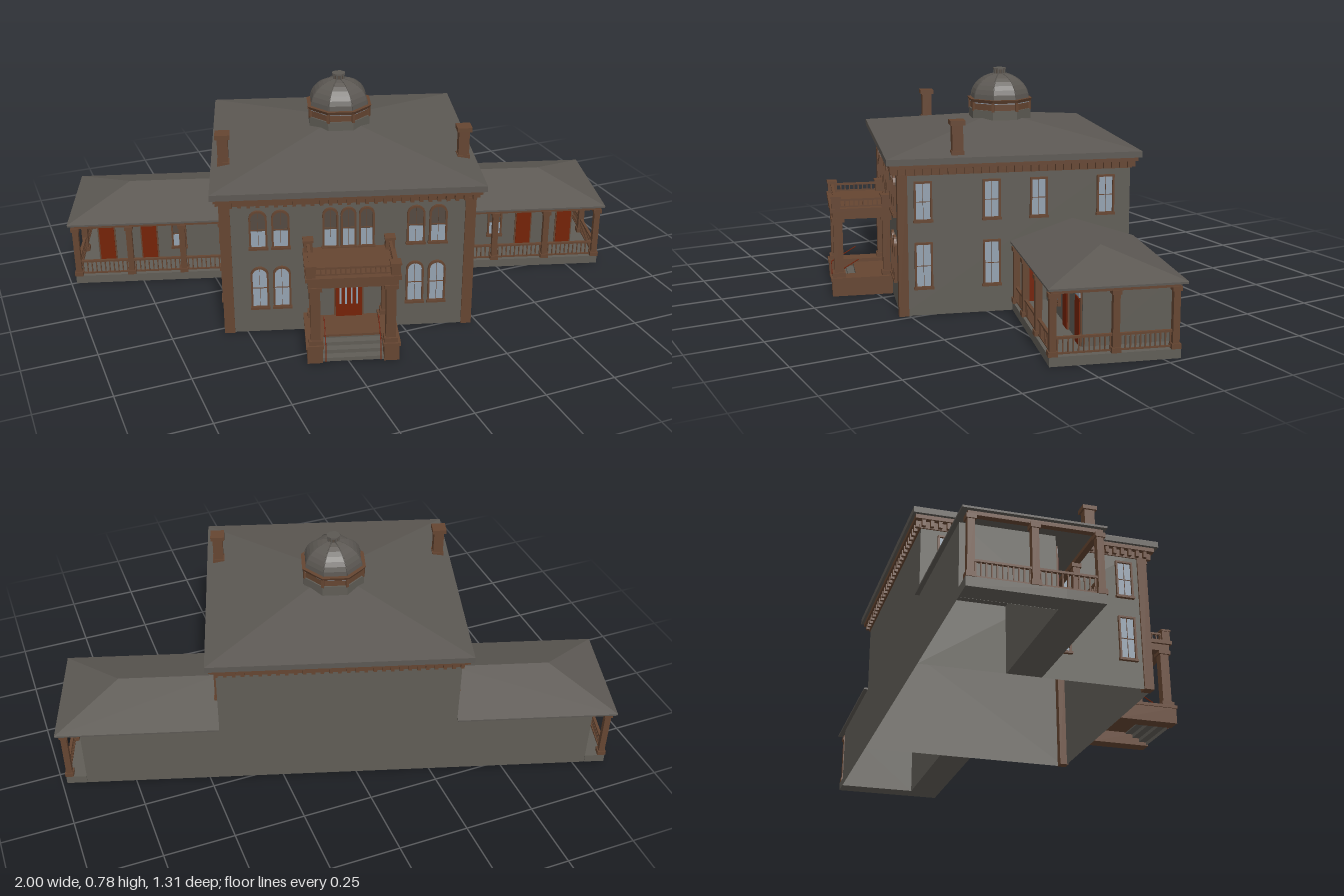
import * as THREE from 'three';

const mat = (name, color, side = THREE.FrontSide) =>
  Object.assign(new THREE.MeshStandardMaterial({ color, side }), { name });
const M = {
  wall: mat('stone grey wall', 0x605d56, THREE.DoubleSide),
  roof: mat('slate roof', 0x5c5853),
  trim: mat('brown trim', 0x654531),
  door: mat('red door', 0x742206),
  glass: mat('pale glass', 0x94a2b0),
  dark: mat('shaded panel', 0x544a41),
};

function add(parent, name, geo, material, x = 0, y = 0, z = 0) {
  const m = new THREE.Mesh(geo, material);
  m.name = name;
  m.position.set(x, y, z);
  parent.add(m);
  return m;
}
// box given by its minimum and maximum corners
function box(parent, name, material, x0, x1, y0, y1, z0, z1) {
  return add(parent, name, new THREE.BoxGeometry(Math.abs(x1 - x0), y1 - y0, z1 - z0), material,
    (x0 + x1) / 2, (y0 + y1) / 2, (z0 + z1) / 2);
}
function sub(parent, name, x = 0, y = 0, z = 0, ry = 0) {
  const g = new THREE.Group();
  g.name = name;
  g.position.set(x, y, z);
  g.rotation.y = ry;
  parent.add(g);
  return g;
}
// flat-faced geometry from convex polygons, optionally mirrored in x
function faces(polys, s = 1) {
  const pos = [];
  for (const p of polys) {
    for (let i = 1; i < p.length - 1; i++) {
      const tri = s > 0 ? [p[0], p[i], p[i + 1]] : [p[0], p[i + 1], p[i]];
      for (const v of tri) pos.push(v[0] * s, v[1], v[2]);
    }
  }
  const g = new THREE.BufferGeometry();
  g.setAttribute('position', new THREE.Float32BufferAttribute(pos, 3));
  g.computeVertexNormals();
  return g;
}
// thin upright walls along a ground path of [x, z] points, running anticlockwise from above
const wallPath = (pts, y0, y1, s = 1) => faces(pts.slice(1).map(([x, z], i) => {
  const [a, b] = pts[i];
  return [[a, y0, b], [x, y0, z], [x, y1, z], [a, y1, b]];
}), s);
// upright opening outline
function outline(shape, w, h, arched, y0 = 0) {
  const r = w / 2;
  shape.moveTo(-r, y0);
  shape.lineTo(r, y0);
  if (arched) {
    shape.lineTo(r, h - r);
    shape.absarc(0, h - r, r, 0, Math.PI, false);
  } else {
    shape.lineTo(r, h);
    shape.lineTo(-r, h);
  }
  shape.lineTo(-r, y0);
  return shape;
}
function windowUnit(parent, x, y, z, ry, w, h, arched, halfShaded = false) {
  const g = sub(parent, 'window', x, y, z, ry);
  const frame = outline(new THREE.Shape(), w, h, arched);
  frame.holes.push(outline(new THREE.Path(), w - 0.013, h - 0.0065, arched, 0.006));
  add(g, 'windowFrame', new THREE.ExtrudeGeometry(frame, { depth: 0.009, bevelEnabled: false, curveSegments: 6 }), M.trim, 0, 0, 0.001);
  const pane = outline(new THREE.Shape(), w - 0.011, h - 0.005, arched, 0.005);
  add(g, 'pane', new THREE.ShapeGeometry(pane, 6), halfShaded ? M.dark : M.glass, 0, 0, 0.003);
  if (halfShaded) box(g, 'lowerPane', M.glass, -w / 2 + 0.0065, w / 2 - 0.0065, 0.006, h * 0.45, 0.002, 0.005);
  box(g, 'mullion', M.trim, -0.0006, 0.0006, 0.006, h - 0.006, 0.003, 0.006);
  box(g, 'crossbar', M.trim, -w / 2 + 0.006, w / 2 - 0.006, h * 0.48, h * 0.48 + 0.002, 0.003, 0.006);
  box(g, 'sill', M.trim, -w / 2 - 0.003, w / 2 + 0.003, -0.004, 0.004, 0.001, 0.013);
}
function doorUnit(parent, x, y, z, ry, w, h) {
  const g = sub(parent, 'door', x, y, z, ry);
  box(g, 'doorFrame', M.trim, -w / 2 - 0.005, w / 2 + 0.005, 0, h + 0.028, 0.001, 0.006);
  box(g, 'doorLeaf', M.door, -w / 2, w / 2, 0, h, 0.003, 0.009);
  box(g, 'transom', M.glass, -w / 2, w / 2, h + 0.005, h + 0.024, 0.003, 0.009);
}
function column(parent, x, z, y0, y1, t) {
  const g = sub(parent, 'column', x, 0, z);
  box(g, 'shaft', M.trim, -t / 2, t / 2, y0, y1, -t / 2, t / 2);
  const b = t * 0.7;
  box(g, 'foot', M.trim, -b, b, y0, y0 + 0.016, -b, b);
  box(g, 'capital', M.trim, -b, b, y1 - 0.014, y1, -b, b);
}
// balustrade between two ground points
function railing(parent, x0, z0, x1, z1, y0, y1) {
  const len = Math.hypot(x1 - x0, z1 - z0);
  const g = sub(parent, 'railing', x0, 0, z0, -Math.atan2(z1 - z0, x1 - x0));
  box(g, 'topRail', M.trim, 0, len, y1 - 0.007, y1, -0.005, 0.005);
  box(g, 'bottomRail', M.trim, 0, len, y0 + 0.004, y0 + 0.009, -0.003, 0.003);
  const n = Math.round(len / 0.016);
  for (let i = 1; i < n; i++) {
    const x = len * i / n;
    box(g, 'baluster', M.trim, x - 0.002, x + 0.002, y0 + 0.006, y1 - 0.005, -0.002, 0.002);
  }
}

function mainHouse(house) {
  const g = sub(house, 'mainHouse');
  const w = 0.415, zf = 0.385, zb = -0.395;
  add(g, 'mainWalls', wallPath([[-w, zf], [w, zf], [w, zb], [-w, zb], [-w, zf]], 0, 0.515), M.wall);
  box(g, 'ceiling', M.wall, -w + 0.002, w - 0.002, 0.466, 0.472, zb + 0.002, zf - 0.002);
  for (const s of [-1, 1]) {
    box(g, 'cornerPilaster', M.trim, s * 0.386, s * 0.421, 0, 0.48, 0.358, 0.391);
    // side windows and porch door
    for (const z of [0.307, 0.079, -0.08, -0.309]) windowUnit(g, s * w, 0.322, z, s * Math.PI / 2, 0.06, 0.133, false);
    for (const z of [0.307, 0.079]) windowUnit(g, s * w, 0.095, z, s * Math.PI / 2, 0.06, 0.155, false);
    doorUnit(g, s * w, 0.03, -0.06, s * Math.PI / 2, 0.055, 0.13);
    // paired arched front windows
    for (const d of [-0.037, 0.037]) {
      windowUnit(g, s * 0.26 + d, 0.32, zf, 0, 0.06, 0.138, true, true);
      windowUnit(g, s * 0.26 + d, 0.095, zf, 0, 0.06, 0.155, true);
    }
  }
  for (const x of [-0.06, 0, 0.06]) windowUnit(g, x, 0.315, zf, 0, 0.052, 0.145, true, true);

  // cornice, frieze and brackets
  box(g, 'frieze', M.trim, -0.42, 0.42, 0.475, 0.5, -0.4, 0.39);
  box(g, 'cornice', M.trim, -0.438, 0.438, 0.5, 0.514, -0.417, 0.416);
  const br = sub(g, 'brackets');
  for (let i = 0; i <= 28; i++) {
    const x = -0.413 + 0.826 * i / 28;
    box(br, 'bracket', M.trim, x - 0.006, x + 0.006, 0.478, 0.501, 0.388, 0.41);
    box(br, 'bracket', M.trim, x - 0.006, x + 0.006, 0.478, 0.501, -0.412, -0.398);
    const z = -0.388 + 0.772 * i / 28;
    for (const s of [-1, 1]) box(br, 'bracket', M.trim, s * 0.417, s * 0.433, 0.478, 0.501, z - 0.006, z + 0.006);
  }

  // low hipped roof
  const rx = 0.449, rz = 0.427;
  box(g, 'roofEdge', M.roof, -rx, rx, 0.514, 0.535, -rz, rz);
  const c = [[-rx, 0.535, rz], [rx, 0.535, rz], [rx, 0.535, -rz], [-rx, 0.535, -rz]];
  add(g, 'mainRoof', faces(c.map((p, i) => [p, c[(i + 1) % 4], [0, 0.618, -0.015]])), M.roof);

  for (const s of [-1, 1]) {
    const ch = sub(g, 'chimney', s * 0.406, 0, 0.191);
    box(ch, 'chimneyStack', M.trim, -0.018, 0.018, 0.53, 0.64, -0.018, 0.018);
    box(ch, 'chimneyBase', M.trim, -0.021, 0.021, 0.53, 0.552, -0.021, 0.021);
    box(ch, 'chimneyCap', M.trim, -0.025, 0.025, 0.637, 0.652, -0.025, 0.025);
  }
}

function cupola(house) {
  const g = sub(house, 'cupola', -0.002, 0, -0.026, Math.PI / 8);
  const drum = (name, m, r0, r1, y0, y1) => add(g, name,
    new THREE.CylinderGeometry(r1, r0, y1 - y0, 8).toNonIndexed(), m, 0, (y0 + y1) / 2, 0).geometry.computeVertexNormals();
  drum('drum', M.wall, 0.114, 0.114, 0.57, 0.632);
  drum('drumBand', M.trim, 0.109, 0.109, 0.632, 0.655);
  drum('lightStrip', M.glass, 0.111, 0.111, 0.655, 0.658);
  drum('drumCornice', M.trim, 0.114, 0.12, 0.658, 0.67);
  const R = 0.106, H = 0.088, Y = 0.669;
  const dome = new THREE.SphereGeometry(R, 8, 8, 0, Math.PI * 2, 0, Math.PI / 2).scale(1, H / R, 1).toNonIndexed();
  dome.computeVertexNormals();
  add(g, 'dome', dome, M.roof, 0, Y, 0);
  // ribs and small brackets on the eight corners
  const arc = [];
  for (let i = 0; i <= 8; i++) {
    const a = i / 8 * 1.4;
    arc.push(new THREE.Vector3(Math.cos(a) * R, Y + Math.sin(a) * H, 0));
  }
  const rib = new THREE.TubeGeometry(new THREE.CatmullRomCurve3(arc), 10, 0.0018, 4);
  for (let i = 0; i < 8; i++) {
    const k = sub(g, 'domeCorner', 0, 0, 0, i * Math.PI / 4);
    add(k, 'rib', rib, M.roof);
    box(k, 'cornerBracket', M.trim, 0.1, 0.115, 0.628, 0.66, -0.005, 0.005);
    box(k, 'finialPost', M.roof, 0.016, 0.021, 0.745, 0.772, -0.003, 0.003);
  }
  drum('finial', M.dark, 0.018, 0.018, 0.745, 0.77);
  drum('finialCap', M.roof, 0.024, 0.024, 0.77, 0.776);
}

function portico(house) {
  const g = sub(house, 'portico');
  box(g, 'porchFloor', M.trim, -0.102, 0.102, 0.044, 0.052, 0.386, 0.51);
  // open-backed flight of steps
  const steps = [];
  for (let i = 0; i < 4; i++) {
    const y = 0.052 - i * 0.013, z = 0.51 + i * 0.026;
    steps.push([[-0.102, y - 0.013, z], [0.102, y - 0.013, z], [0.102, y, z], [-0.102, y, z]]);
    if (i < 3) steps.push([[-0.102, y - 0.013, z + 0.026], [0.102, y - 0.013, z + 0.026], [0.102, y - 0.013, z], [-0.102, y - 0.013, z]]);
  }
  add(g, 'steps', faces(steps), M.wall);
  for (const s of [-1, 1]) {
    box(g, 'cheekWall', M.trim, s * 0.1, s * 0.15, 0, 0.058, 0.386, 0.597);
    box(g, 'cheekCap', M.trim, s * 0.096, s * 0.154, 0.055, 0.066, 0.386, 0.601);
    column(g, s * 0.122, 0.572, 0.066, 0.278, 0.032);
    column(g, s * 0.122, 0.404, 0.066, 0.278, 0.026);
    for (const z of [0.578, 0.405]) {
      box(g, 'balconyPost', M.trim, s * 0.12, s * 0.15, 0.312, 0.352, z - 0.015, z + 0.015);
      box(g, 'postCap', M.trim, s * 0.117, s * 0.153, 0.35, 0.357, z - 0.018, z + 0.018);
    }
    railing(g, s * 0.135, 0.402, s * 0.135, 0.578, 0.312, 0.346);
    // sloping handrail with its end post
    const path = new THREE.LineCurve3(new THREE.Vector3(s * 0.09, 0.115, 0.5), new THREE.Vector3(s * 0.09, 0.062, 0.59));
    add(g, 'handrail', new THREE.TubeGeometry(path, 1, 0.002, 5), M.door);
    box(g, 'handrailPost', M.door, s * 0.0885, s * 0.0915, 0, 0.063, 0.588, 0.591);
  }
  railing(g, -0.135, 0.578, 0.135, 0.578, 0.312, 0.346);
  box(g, 'entablature', M.trim, -0.144, 0.144, 0.275, 0.302, 0.386, 0.59);
  box(g, 'balconyDeck', M.trim, -0.153, 0.153, 0.3, 0.314, 0.386, 0.598);

  // arched main entrance
  const d = sub(g, 'mainDoor', 0, 0.05, 0.386);
  const frame = outline(new THREE.Shape(), 0.1, 0.197, true);
  add(d, 'entranceFrame', new THREE.ExtrudeGeometry(frame, { depth: 0.004, bevelEnabled: false }), M.trim);
  add(d, 'fanlight', new THREE.ShapeGeometry(outline(new THREE.Shape(), 0.086, 0.19, true)), M.glass, 0, 0, 0.006);
  box(d, 'doorLeaves', M.door, -0.044, 0.044, 0, 0.15, 0.004, 0.01);
  for (const x of [-0.028, -0.01, 0.01, 0.028]) box(d, 'doorPane', M.glass, x - 0.003, x + 0.003, 0.05, 0.138, 0.009, 0.012);
}

function wing(house, s) {
  const g = sub(house, s > 0 ? 'leftWing' : 'rightWing');
  const e = 0.24, r = 0.31, end = 0.895, zw = -0.11, zb = -0.395;
  add(g, 'wingWalls', wallPath([[0.415, zw], [end, zw], [end, zb], [0.415, zb]], 0, 0.236, s), M.wall);
  box(g, 'frontPorchSlab', M.wall, s * 0.416, s * 0.967, 0, 0.03, zw + 0.001, 0.008);
  box(g, 'endPorchSlab', M.wall, s * (end + 0.001), s * 0.967, 0, 0.03, zb, zw + 0.001);
  for (const x of [0.705, 0.86]) doorUnit(g, s * x, 0.03, zw, 0, 0.054, 0.145);
  windowUnit(g, s * 0.595, 0.075, zw, 0, 0.055, 0.115, false, true);

  // hipped roof over room and porch
  const A = [0.415, e, 0.016], B = [0.98, e, 0.016], C = [0.98, e, -0.41], D = [0.415, e, -0.41];
  const P = [0.415, r, -0.197], Q = [0.77, r, -0.197];
  add(g, 'wingRoof', faces([[A, B, Q, P], [B, C, Q], [C, D, P, Q]], s), M.roof);
  box(g, 'roofEdge', M.roof, s * 0.416, s * 0.979, 0.233, 0.2395, -0.409, 0.015);
  box(g, 'frontBeam', M.trim, s * 0.416, s * 0.966, 0.221, 0.234, -0.012, 0.006);
  box(g, 'endBeam', M.trim, s * 0.946, s * 0.966, 0.221, 0.234, -0.39, 0);

  // columns and balustrade around two sides
  const corners = [[0.43, -0.003], [0.575, -0.003], [0.765, -0.003], [0.955, -0.003], [0.955, -0.195], [0.955, -0.38]];
  corners.forEach(([x, z], i) => {
    column(g, s * x, z, 0.03, 0.223, 0.021);
    if (i) railing(g, s * corners[i - 1][0], corners[i - 1][1], s * x, z, 0.03, 0.088);
  });
}

export function createModel() {
  const model = new THREE.Group();
  model.name = 'house';
  // the building stands turned on its plot
  const house = sub(model, 'building', -0.057, 0, 0.035, -17.5 * Math.PI / 180);
  mainHouse(house);
  cupola(house);
  portico(house);
  wing(house, 1);
  wing(house, -1);
  return model;
}
